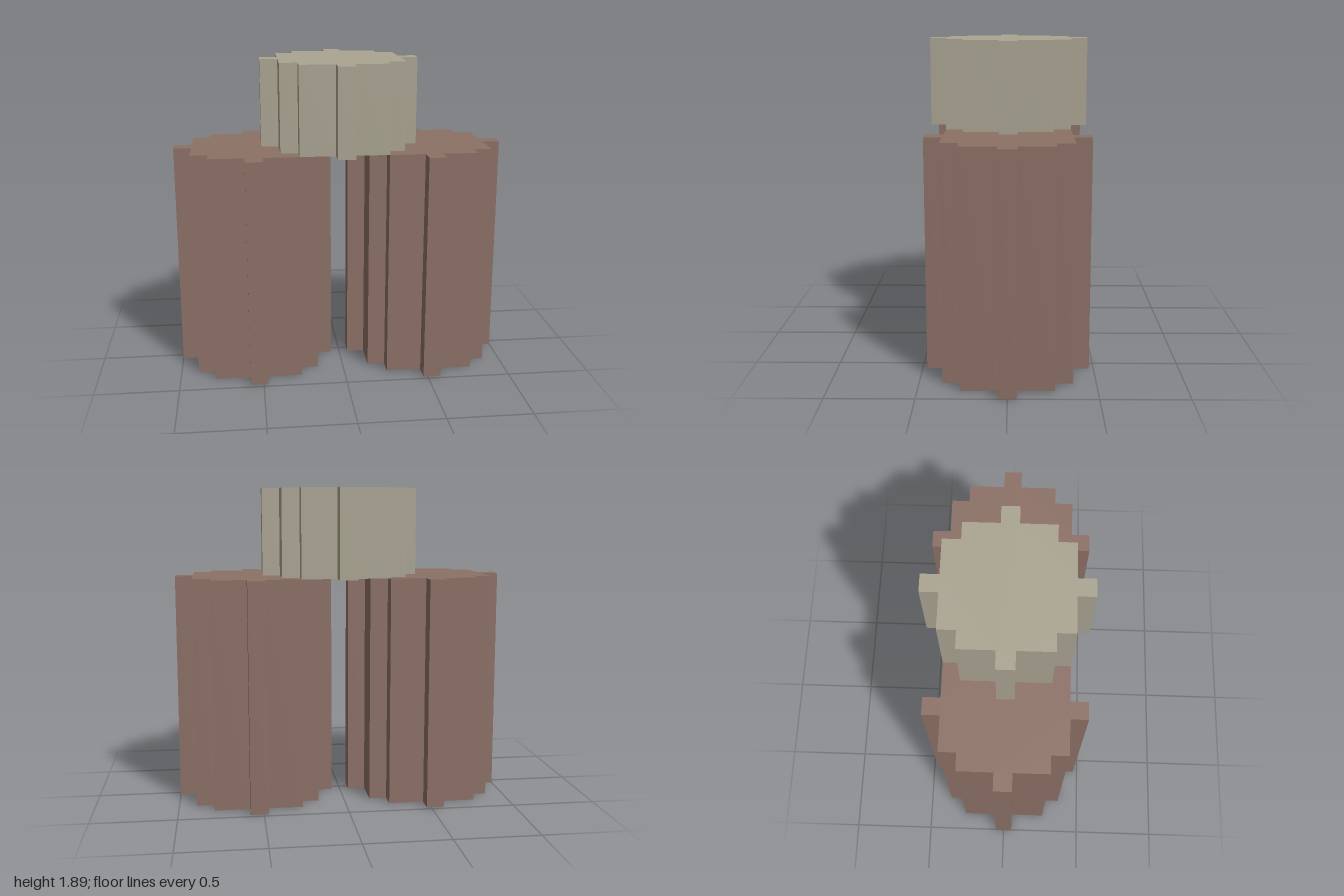
import * as THREE from 'three';

const U = 2 / 19; // one block of the grid the model is built on

// Stepped, blocky disc outline, nine blocks across
function discShape() {
  const quarter = [[4.5, 0.5], [3.5, 0.5], [3.5, 2.5], [2.5, 2.5], [2.5, 3.5], [0.5, 3.5], [0.5, 4.5]];
  const points = [];
  for (let i = 0; i < 4; i++) {
    const turn = i * Math.PI / 2;
    for (const [x, y] of quarter) {
      points.push(new THREE.Vector2(x * U, y * U).rotateAround(new THREE.Vector2(), turn));
    }
  }
  return new THREE.Shape(points);
}

// Upright column with the stepped outline
function column(name, blocksHigh, x, y, material) {
  const geometry = new THREE.ExtrudeGeometry(discShape(), { depth: blocksHigh * U, bevelEnabled: false });
  geometry.rotateX(-Math.PI / 2);
  const mesh = new THREE.Mesh(geometry, material);
  mesh.name = name;
  mesh.position.set(x * U, y * U, 0);
  return mesh;
}

export function createModel() {
  const group = new THREE.Group();
  group.name = 'stackedLogs';
  const bark = new THREE.MeshStandardMaterial({ color: 0x8d7166 });
  const pale = new THREE.MeshStandardMaterial({ color: 0xaba592 });

  // Two tall columns side by side
  group.add(column('leftColumn', 13, 5, 0, bark));
  group.add(column('rightColumn', 13, -5, 0, bark));

  // Short column bridging the two
  group.add(column('topColumn', 5, 0, 13, pale));
  return group;
}
